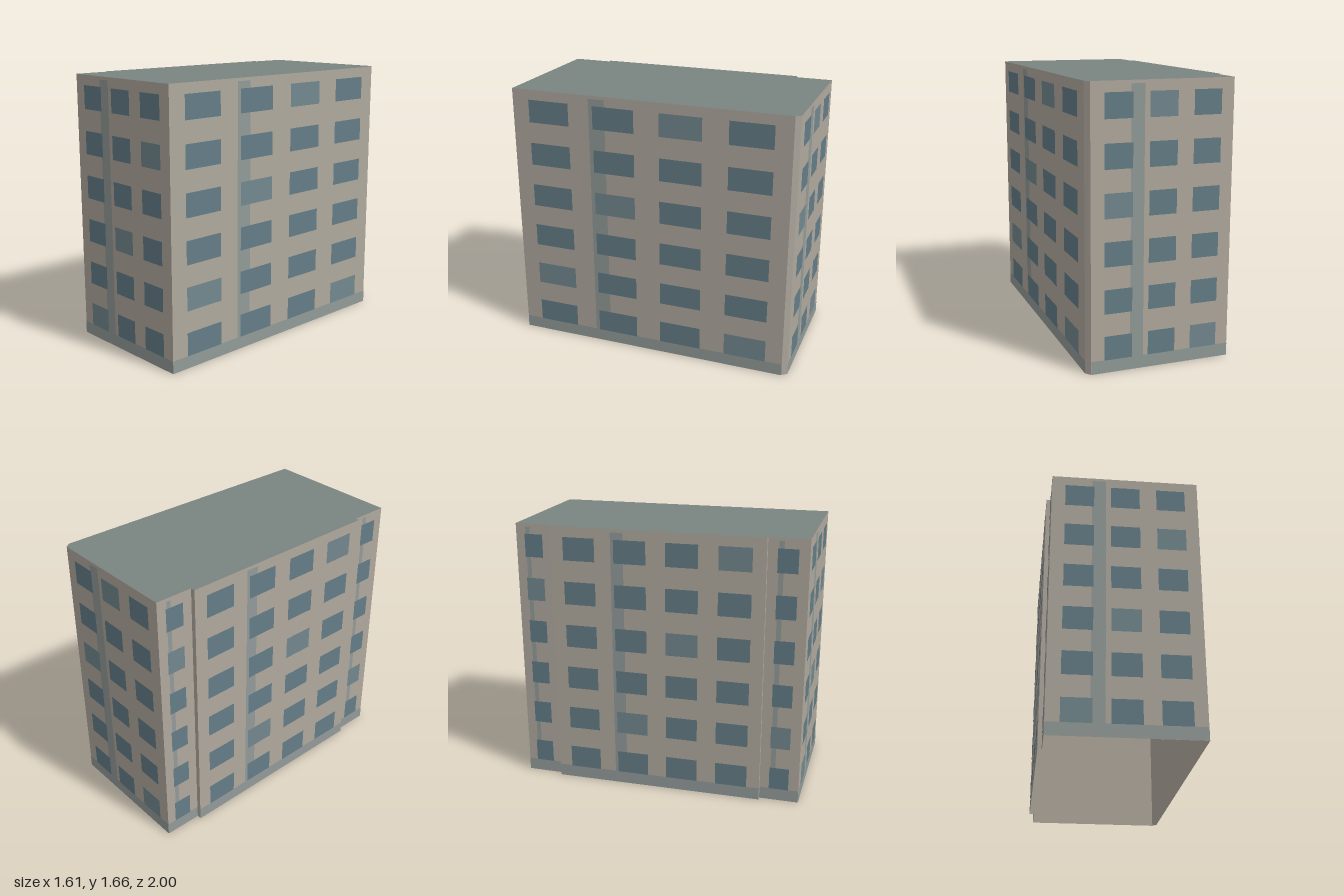
import * as THREE from 'three';

const HEIGHT = 1.656, PLINTH = 0.077, STRIP_TOP = 1.637;
const FLOORS = 6, FLOOR_PITCH = 0.275, SILL = 0.076, WINDOW_H = 0.143;

// Footprint corners (x, z), in order around the building
const corners = [
  [-0.807, 0.567], [-0.042, 0.998], [0.805, -0.547], [0.798, -0.586], [0.05, -0.998],
  [-0.062, -0.797], [-0.087, -0.81], [-0.713, 0.344], [-0.691, 0.356],
];

// Window layout as fractions of each wall; walls without an entry are plain returns
const threeBays = { bays: 3, first: 0.092, pitch: 0.311, width: 0.196, strip: [0.275, 0.368] };
const fourBays = { bays: 4, first: 0.062, pitch: 0.242, width: 0.151, strip: [0.29, 0.349] };
const oneBay = { bays: 1, first: 0.24, pitch: 1, width: 0.5, strip: [0.27, 0.39] };
const facades = {
  0: { name: 'front', ...threeBays },
  1: { name: 'leftSide', ...fourBays },
  3: { name: 'back', ...threeBays },
  4: { name: 'rightSideRear', ...oneBay },
  6: { name: 'rightSideMain', ...fourBays },
  8: { name: 'rightSideFront', ...oneBay },
};

export function createModel() {
  const model = new THREE.Group();
  model.name = 'apartmentBlock';

  const wallMat = new THREE.MeshStandardMaterial({ color: 0xb0a99e, side: THREE.DoubleSide });
  const roofMat = new THREE.MeshStandardMaterial({ color: 0x7a8481, side: THREE.DoubleSide });
  const trimMat = new THREE.MeshStandardMaterial({ color: 0x929b99 });
  const glassMat = new THREE.MeshStandardMaterial({ color: 0x647d86 });
  const paleGlassMat = new THREE.MeshStandardMaterial({ color: 0x72888f });

  // Upright rectangle on a wall, from (x0, y0) to (x1, y1), set forward by depth
  const panel = (parent, name, mat, x0, x1, y0, y1, depth) => {
    const mesh = new THREE.Mesh(new THREE.PlaneGeometry(x1 - x0, y1 - y0), mat);
    mesh.position.set((x0 + x1) / 2, (y0 + y1) / 2, depth);
    mesh.name = name;
    parent.add(mesh);
  };

  // Walls, each in its own frame: x along the wall, z outward
  corners.forEach(([x, z], w) => {
    const [nx, nz] = corners[(w + 1) % corners.length];
    const length = Math.hypot(nx - x, nz - z);
    const facade = facades[w];
    const wall = new THREE.Group();
    wall.name = facade ? facade.name + 'Wall' : 'returnWall';
    wall.position.set(x, 0, z);
    wall.rotation.y = Math.atan2(z - nz, nx - x);
    model.add(wall);
    panel(wall, 'wallSurface', wallMat, 0, length, 0, HEIGHT, 0);
    if (!facade) return;

    // Plinth band and vertical strip
    const { bays, first, pitch, width, strip } = facade;
    panel(wall, 'plinth', trimMat, 0, length, 0, PLINTH, 0.0015);
    panel(wall, 'verticalStrip', trimMat, strip[0] * length, strip[1] * length, PLINTH, STRIP_TOP, 0.0015);

    // Window grid, a few panes paler
    for (let floor = 0; floor < FLOORS; floor++) {
      for (let bay = 0; bay < bays; bay++) {
        const x0 = (first + bay * pitch) * length;
        const y0 = SILL + floor * FLOOR_PITCH;
        const pale = (bay * 2 + floor * 6 + w) % 7 === 0;
        panel(wall, 'window', pale ? paleGlassMat : glassMat,
          x0, x0 + width * length, y0, y0 + WINDOW_H, 0.003);
      }
    }
  });

  // Flat roof
  const outline = new THREE.Shape(corners.map(([x, z]) => new THREE.Vector2(x, -z)));
  const roof = new THREE.Mesh(new THREE.ShapeGeometry(outline), roofMat);
  roof.name = 'roof';
  roof.rotation.x = -Math.PI / 2;
  roof.position.y = HEIGHT;
  model.add(roof);

  return model;
}
